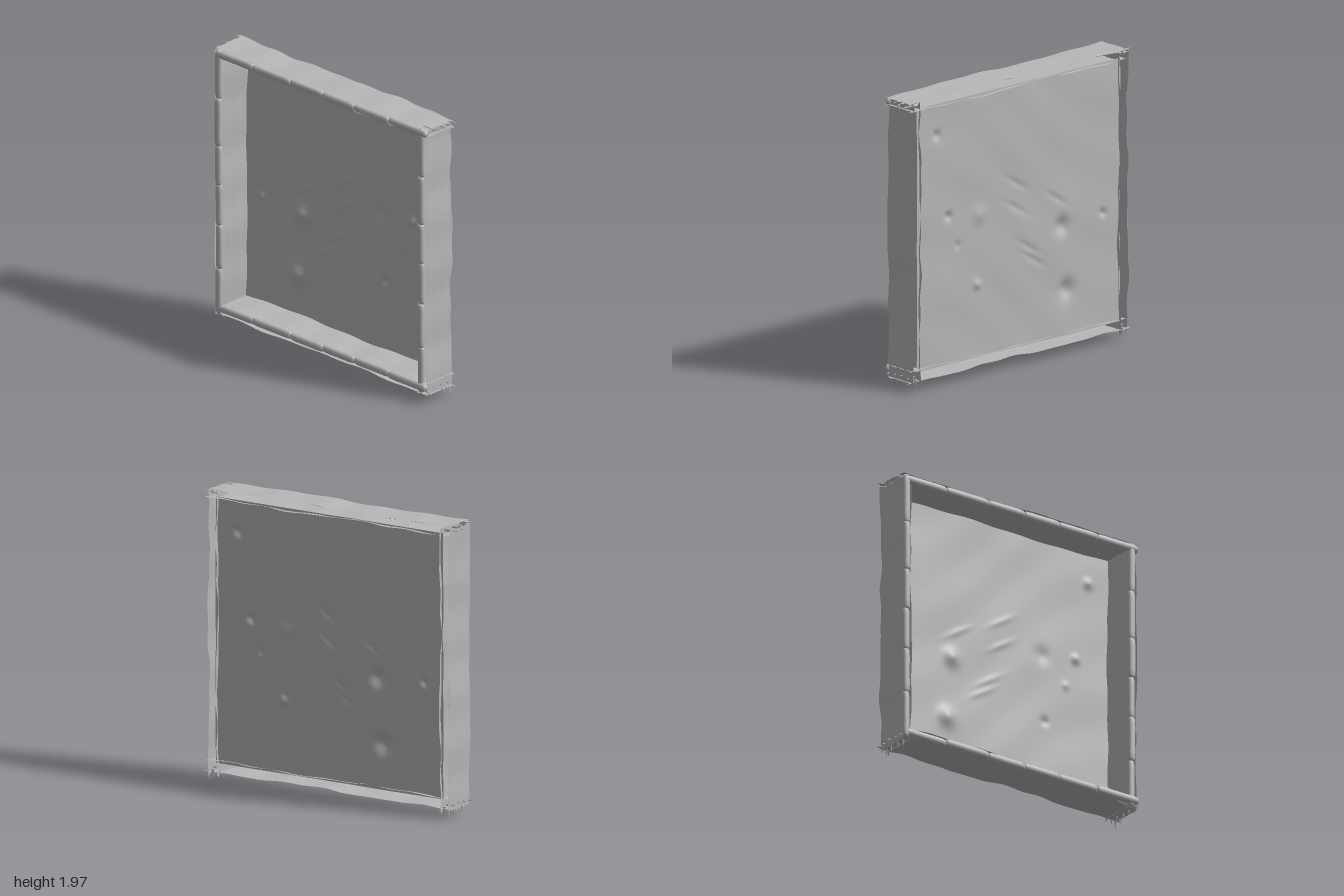
import * as THREE from 'three';

const grey = new THREE.MeshStandardMaterial({ color: 0xb8b8b8, side: THREE.DoubleSide });
grey.name = 'plain grey';

const hash = (n) => {
  const s = Math.sin(n * 127.1 + 11.7) * 43758.5453;
  return s - Math.floor(s);
};

function part(name, geometry) {
  const mesh = new THREE.Mesh(geometry, grey);
  mesh.name = name;
  return mesh;
}

// One rough skin of a plank: runs along x or y, spans the depth in z, has torn ends
function plankSkin({ horizontal, offset, start, end, tearStart, tearEnd, seed }) {
  const along = 70, across = 26;
  const geo = new THREE.PlaneGeometry(1, 1, along, across);
  const p = geo.attributes.position;
  for (let i = 0; i < p.count; i++) {
    const u = p.getX(i) + 0.5;
    const v = p.getY(i) + 0.5;
    const row = Math.round(v * across);
    let s = start + (end - start) * u;
    // torn ends, with the longest splinters at the back
    const tear = (k) => 0.35 * hash(row + seed + k) + (row === 1 ? 0.65 : 0);
    if (u < 0.001) s -= tearStart * tear(0);
    if (u > 0.999) s += tearEnd * tear(50);
    // wood grain, gentle bowing and ragged front and back edges
    const wave = 0.005 * Math.sin(s * 5 + seed) + 0.003 * Math.sin(s * 17 + seed * 2);
    const grain = 0.0025 * (hash(row * 3 + seed) - 0.5) * (1 + Math.sin(s * 9 + row * 2.3));
    let z = -0.086 + 0.246 * v;
    if (row === 0) z += 0.007 * Math.sin(s * 8 + seed) + 0.005 * Math.sin(s * 23 + seed);
    if (row === across) z += 0.004 * Math.sin(s * 11 + seed);
    const o = offset + wave + grain;
    if (horizontal) p.setXYZ(i, s, o, z);
    else p.setXYZ(i, o, s, z);
  }
  geo.computeVertexNormals();
  return geo;
}

// Rounded front trim made of worn segments laid end to end
function frontTrim(name, horizontal, centre, cuts, seed) {
  const group = new THREE.Group();
  group.name = name;
  for (let i = 0; i < cuts.length - 1; i++) {
    const length = cuts[i + 1] - cuts[i] + 0.008;
    const r = 0.025 + 0.003 * hash(i + seed);
    const profile = [[0, 0], [0.7, 0.004], [0.92, 0.02], [1, 0.06], [0.97, length / 2],
      [1, length - 0.06], [0.92, length - 0.02], [0.7, length - 0.004], [0, length]]
      .map(([k, y]) => new THREE.Vector2(k * r, y));
    const geo = new THREE.LatheGeometry(profile, 16);
    geo.translate(0, cuts[i], 0).scale(1, 1, 0.8);
    if (horizontal) geo.rotateZ(-Math.PI / 2);
    const seg = part(name + 'Segment', geo);
    const shift = centre + 0.006 * (hash(i * 5 + seed) - 0.5);
    const z = 0.152 + 0.012 * hash(i * 3 + seed);
    seg.position.set(horizontal ? 0 : shift, horizontal ? shift : 0, z);
    group.add(seg);
  }
  return group;
}

// Back panel relief: [x, y, radius, height]
const bumps = [[-0.44, 0.44, 0.1, 0.03], [-0.4, 0.88, 0.09, 0.028], [-0.76, 0.9, 0.04, 0.018],
  [0.6, 1.14, 0.045, 0.02], [0.35, 0.63, 0.045, -0.016], [0.7, 1.71, 0.05, 0.018],
  [0.33, 1.1, 0.09, -0.014], [0.52, 0.93, 0.04, 0.01]];
const wrinkles = [[-0.35, 1.08], [0, 1.08], [-0.1, 0.8], [-0.15, 0.7], [0, 1.25]];

function panelRelief(x, y) {
  let z = 0.003 * Math.sin(x * 4 + y * 3) * Math.sin(y * 5 - x * 2)
    + 0.0015 * Math.sin(x * 9 - y * 14 + 2 * Math.sin(x * 3));
  for (const [bx, by, r, h] of bumps) {
    z += h * Math.exp(-2.5 * ((x - bx) ** 2 + (y - by) ** 2) / (r * r));
  }
  for (const [wx, wy] of wrinkles) {
    const a = (x - wx) * 0.85 + (y - wy) * 0.53;
    const b = (y - wy) * 0.85 - (x - wx) * 0.53;
    z += 0.006 * Math.exp(-((a / 0.11) ** 2) - (b / 0.02) ** 2);
  }
  return z;
}

function backPanel() {
  const geo = new THREE.PlaneGeometry(1.79, 1.79, 120, 120).translate(-0.015, 1.03, 0);
  const p = geo.attributes.position;
  for (let i = 0; i < p.count; i++) p.setZ(i, -0.07 + panelRelief(p.getX(i), p.getY(i)));
  geo.computeVertexNormals();
  return geo;
}

function flatPatch(points) {
  const curve = new THREE.SplineCurve(points.map(([x, y]) => new THREE.Vector2(x, y)));
  return new THREE.ShapeGeometry(new THREE.Shape(curve.getPoints(50)));
}

export function createModel() {
  const model = new THREE.Group();
  model.name = 'shallowFrame';
  model.add(part('backPanel', backPanel()));

  // Four hollow planks, each with an outer and an inner skin
  const planks = [
    ['topPlank', true, [1.972, 1.915]], ['bottomPlank', true, [0.078, 0.15]],
    ['rightPlank', false, [-0.962, -0.895]], ['leftPlank', false, [0.925, 0.86]],
  ];
  planks.forEach(([name, horizontal, offsets], n) => {
    const group = new THREE.Group();
    group.name = name;
    offsets.forEach((offset, k) => {
      const inner = k === 1;
      const range = horizontal
        ? { start: -0.945, end: 0.93, tearStart: inner ? 0.03 : 0.055, tearEnd: inner ? 0.04 : 0.07 }
        : { start: 0.075, end: 1.95, tearStart: inner ? 0.05 : 0.075, tearEnd: 0.03 };
      group.add(part(inner ? 'innerSkin' : 'outerSkin',
        plankSkin({ horizontal, offset, ...range, seed: n * 7 + k * 3 })));
    });
    model.add(group);
  });

  // Front trim
  const xCuts = [-0.95, -0.62, -0.28, 0.01, 0.29, 0.6, 0.93];
  const yCuts = [0.08, 0.4, 0.71, 1.0, 1.28, 1.62, 1.96];
  model.add(frontTrim('topTrim', true, 1.938, xCuts, 1));
  model.add(frontTrim('bottomTrim', true, 0.122, xCuts, 9));
  model.add(frontTrim('rightTrim', false, -0.932, yCuts, 17));
  model.add(frontTrim('leftTrim', false, 0.886, yCuts, 25));

  // Splinters at the four corners
  for (const x of [-0.93, 0.89]) {
    for (const y of [0.11, 1.95]) {
      for (let i = 0; i < 8; i++) {
        const side = Math.sign(x);
        const down = y < 1 && i % 2 === 0;
        const length = 0.05 + 0.04 * hash(i + x * 9 + y);
        const geo = new THREE.ConeGeometry(0.011, length, 5);
        const splinter = part('splinter', geo);
        const z = -0.075 + i * 0.032;
        if (down) {
          splinter.rotation.z = Math.PI;
          splinter.position.set(x + 0.03 * (hash(i * 3) - 0.5), 0.06, z);
        } else {
          splinter.rotation.z = -side * Math.PI / 2;
          splinter.position.set(x + side * 0.025, y + 0.04 * (hash(i * 5 + y) - 0.5), z);
        }
        model.add(splinter);
      }
    }
  }

  // Smooth patch on the panel and a loose flake behind it
  const patch = part('smoothPatch', flatPatch([[-0.72, 1.5], [-0.67, 1.54], [-0.59, 1.53], [-0.57, 1.48],
    [-0.54, 1.44], [-0.58, 1.39], [-0.58, 1.34], [-0.65, 1.3], [-0.69, 1.38], [-0.73, 1.44], [-0.72, 1.5]]));
  patch.position.z = -0.064;
  const flake = part('looseFlake', flatPatch([[0.26, 1.88], [0.31, 1.91], [0.39, 1.9], [0.47, 1.91],
    [0.53, 1.86], [0.5, 1.825], [0.42, 1.83], [0.33, 1.82], [0.28, 1.84], [0.26, 1.88]]));
  flake.position.z = -0.19;
  model.add(patch, flake);
  return model;
}
